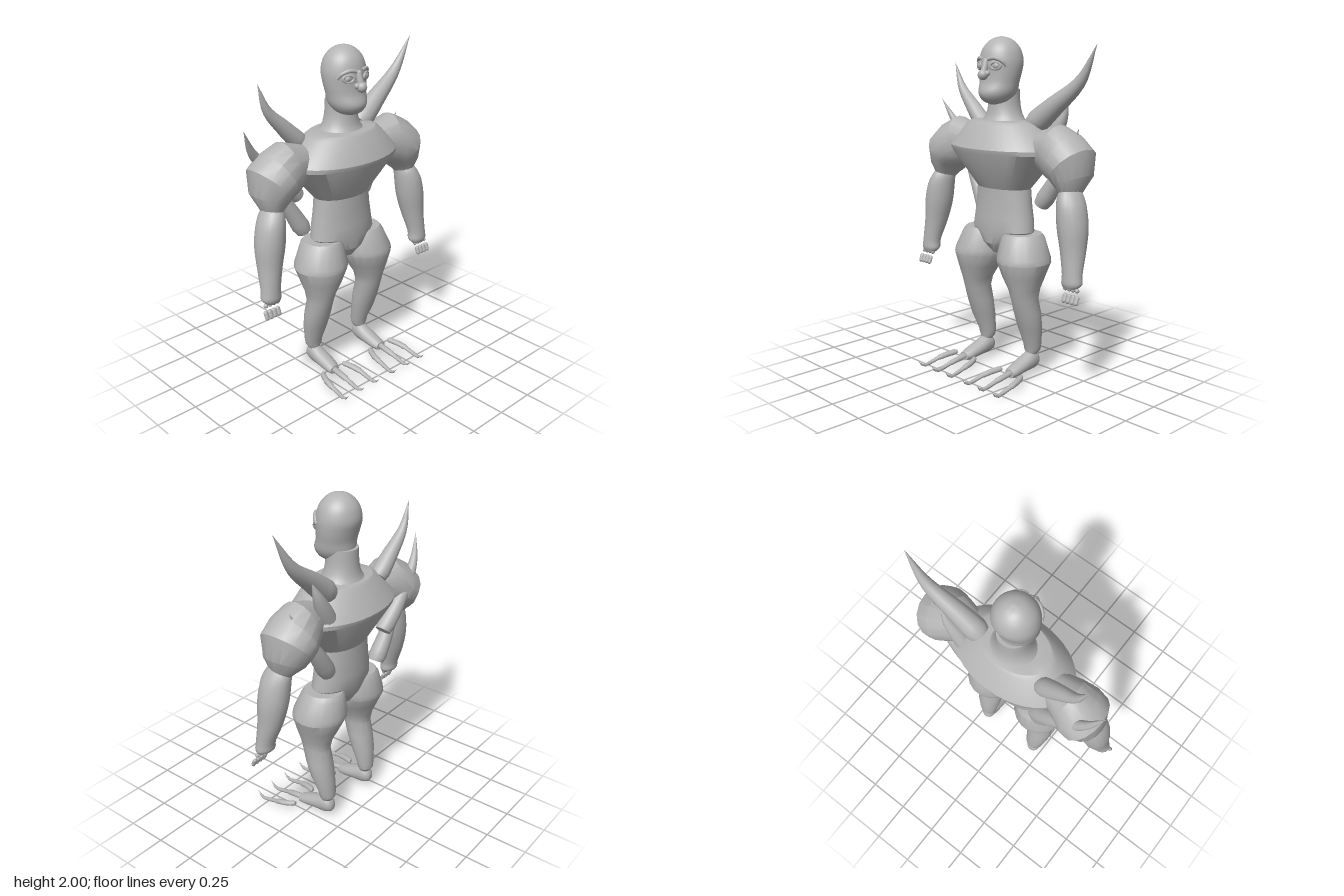
import * as THREE from 'three';
import { toCreasedNormals } from 'three/addons/utils/BufferGeometryUtils.js';

const rad = THREE.MathUtils.degToRad;

// Closed skin over elliptical rings: [x, y, z, half width, half depth, tilt in degrees]
function loft(rings, sides = 20, crease = 0.6) {
  const pos = [], idx = [], n = rings.length;
  for (const [x, y, z, a, b, tilt = 0] of rings) {
    const c = Math.cos(rad(tilt)), s = Math.sin(rad(tilt));
    for (let j = 0; j < sides; j++) {
      const t = j / sides * Math.PI * 2, u = a * Math.cos(t);
      pos.push(x + u * c, y + u * s, z + b * Math.sin(t));
    }
  }
  for (let i = 0; i < n - 1; i++) {
    for (let j = 0; j < sides; j++) {
      const k = (j + 1) % sides, p = i * sides, q = p + sides;
      idx.push(p + j, q + j, p + k, q + j, q + k, p + k);
    }
  }
  // End caps
  const first = rings[0], last = rings[n - 1];
  pos.push(first[0], first[1], first[2], last[0], last[1], last[2]);
  const c0 = n * sides, c1 = c0 + 1, top = (n - 1) * sides;
  for (let j = 0; j < sides; j++) {
    const k = (j + 1) % sides;
    idx.push(c0, j, k, c1, top + k, top + j);
  }
  const g = new THREE.BufferGeometry();
  g.setAttribute('position', new THREE.Float32BufferAttribute(pos, 3));
  g.setIndex(idx);
  return toCreasedNormals(g, crease);
}

// Adds rounded in-between rings
function smooth(rings, steps = 4) {
  const out = [], n = rings.length;
  for (let i = 0; i < n - 1; i++) {
    const [p0, p1, p2, p3] = [-1, 0, 1, 2].map(d => rings[Math.min(n - 1, Math.max(0, i + d))]);
    for (let s = 0; s < steps; s++) {
      const t = s / steps;
      out.push(p1.map((v, k) => 0.5 * (2 * v + (p2[k] - p0[k]) * t
        + (2 * p0[k] - 5 * v + 4 * p2[k] - p3[k]) * t * t
        + (3 * v - p0[k] - 3 * p2[k] + p3[k]) * t * t * t)));
    }
  }
  out.push(rings[n - 1]);
  return out;
}

const mirror = (rings, s) => rings.map(([x, y, z, a, b, t = 0]) => [x * s, y, z, a, b, t * s]);

// Curved horn tapering from a blunt base to a point
function horn(points, r) {
  const curve = new THREE.CatmullRomCurve3(points.map(p => new THREE.Vector3(...p)));
  const rings = [];
  for (let i = 0; i <= 14; i++) {
    const t = i / 14, p = curve.getPoint(t), d = curve.getTangent(t);
    const w = r * Math.max(0.01, 1 - Math.pow(t, 1.6)) * (i === 0 ? 0.85 : 1);
    rings.push([p.x, p.y, p.z, w, w, THREE.MathUtils.radToDeg(Math.atan2(-d.x, d.y))]);
  }
  return loft(rings, 14);
}

export function createModel() {
  const model = new THREE.Group();
  model.name = 'hornedFigure';
  const clay = new THREE.MeshStandardMaterial({ color: 0xb4b4b4 });
  clay.name = 'grey clay';
  const add = (name, geo, x = 0, y = 0, z = 0) => {
    const m = new THREE.Mesh(geo, clay);
    m.name = name;
    m.position.set(x, y, z);
    model.add(m);
    return m;
  };

  // Torso with flared chest, and neck
  add('torso', loft([
    [0, 0.74, -0.07, 0.04, 0.07], [0, 0.8, -0.07, 0.13, 0.11], [0, 0.88, -0.075, 0.225, 0.125],
    [0, 0.95, -0.08, 0.215, 0.125], [0, 1.04, -0.08, 0.2, 0.12], [0, 1.13, -0.08, 0.19, 0.12],
    [0, 1.345, -0.08, 0.38, 0.24], [0, 1.37, -0.08, 0.38, 0.245], [0, 1.505, -0.07, 0.25, 0.165],
    [0, 1.52, -0.07, 0.22, 0.15], [0, 1.525, -0.07, 0.15, 0.12]], 40, 0.45));
  add('neck', loft(smooth([
    [0, 1.51, -0.08, 0.145, 0.125], [0, 1.55, -0.08, 0.115, 0.105],
    [0, 1.61, -0.08, 0.096, 0.094], [0, 1.7, -0.08, 0.09, 0.09]]), 28));

  // Head
  add('head', loft(smooth([
    [0, 1.615, -0.02, 0.03, 0.04], [0, 1.635, -0.02, 0.075, 0.085], [0, 1.68, -0.028, 0.106, 0.118],
    [0, 1.74, -0.04, 0.118, 0.112], [0, 1.8, -0.05, 0.128, 0.118], [0, 1.86, -0.056, 0.13, 0.126],
    [0, 1.92, -0.057, 0.115, 0.113], [0, 1.96, -0.057, 0.088, 0.087],
    [0, 1.988, -0.057, 0.05, 0.05], [0, 2, -0.057, 0.005, 0.005]]), 32, 1));
  add('noseBridge', new THREE.CapsuleGeometry(0.02, 0.07, 4, 12), 0, 1.825, 0.075).rotation.x = -0.3;
  add('noseTip', new THREE.SphereGeometry(0.03, 16, 12), 0, 1.785, 0.09);

  for (const s of [1, -1]) {
    const side = s > 0 ? 'left' : 'right';
    add(side + 'Nostril', new THREE.SphereGeometry(0.017, 12, 8), s * 0.024, 1.793, 0.078);

    // Eye, lids and brow
    add(side + 'Eye', new THREE.SphereGeometry(0.024, 14, 10), s * 0.065, 1.835, 0.042);
    const lids = add(side + 'Eyelids', new THREE.TorusGeometry(0.026, 0.008, 8, 20), s * 0.065, 1.835, 0.056);
    lids.scale.set(1.2, 0.75, 1);
    lids.rotation.y = s * 0.5;
    const brow = new THREE.CatmullRomCurve3([[0.02, 1.872, 0.07], [0.06, 1.878, 0.058],
      [0.095, 1.86, 0.032], [0.108, 1.835, 0.01]].map(([x, y, z]) => new THREE.Vector3(x * s, y, z)));
    add(side + 'Brow', new THREE.TubeGeometry(brow, 14, 0.011, 8));

    // Shoulder bulge and forearm
    add(side + 'Shoulder', loft(mirror([
      [0.24, 1.38, -0.09, 0.08, 0.08, -80], [0.375, 1.375, -0.1, 0.152, 0.13, -107],
      [0.45, 1.34, -0.105, 0.15, 0.16, -120], [0.51, 1.295, -0.105, 0.142, 0.16, -134],
      [0.525, 1.215, -0.1, 0.102, 0.125, -157], [0.522, 1.155, -0.085, 0.057, 0.08, -172],
      [0.522, 1.13, -0.08, 0.045, 0.06, -175]], s), 16, 0.5));
    add(side + 'Forearm', loft(mirror(smooth([
      [0.598, 0.645, 0, 0.045, 0.03], [0.6, 0.67, -0.01, 0.064, 0.05], [0.598, 0.72, -0.015, 0.06, 0.053],
      [0.58, 0.85, -0.04, 0.072, 0.075], [0.565, 0.97, -0.05, 0.086, 0.09],
      [0.548, 1.08, -0.056, 0.08, 0.09], [0.532, 1.145, -0.065, 0.064, 0.08],
      [0.525, 1.18, -0.07, 0.045, 0.06]], 3), s), 16));

    // Knuckles and separate finger segments
    for (let i = 0; i < 4; i++) {
      const x = s * (0.578 + i * 0.028);
      add(side + 'Knuckle' + i, new THREE.SphereGeometry(0.013, 10, 8), x - s * 0.01, 0.64, 0.005);
      const f = add(side + 'Finger' + i, new THREE.CapsuleGeometry(0.0145, 0.028, 4, 8), x, 0.59, 0.022);
      f.rotation.x = -0.4;
      f.scale.z = 0.8;
    }

    // Leg with wide hip
    add(side + 'Leg', loft(mirror([
      [0.195, 0.13, -0.125, 0.035, 0.035], [0.195, 0.155, -0.13, 0.052, 0.046],
      [0.196, 0.19, -0.128, 0.058, 0.05], [0.202, 0.3, -0.1, 0.076, 0.07], [0.203, 0.4, -0.075, 0.083, 0.08],
      [0.202, 0.49, -0.052, 0.078, 0.086], [0.2, 0.55, -0.05, 0.09, 0.1], [0.19, 0.63, -0.055, 0.128, 0.132],
      [0.184, 0.71, -0.062, 0.16, 0.162], [0.18, 0.74, -0.064, 0.158, 0.16], [0.165, 0.85, -0.075, 0.126, 0.13],
      [0.16, 0.872, -0.075, 0.112, 0.115]], s), 18, 0.5));

    // Foot and toes, lofted upright and laid forward
    add(side + 'Foot', loft(mirror(smooth([
      [0.195, -0.172, -0.085, 0.018, 0.02], [0.195, -0.155, -0.09, 0.037, 0.045],
      [0.195, -0.115, -0.092, 0.046, 0.06], [0.195, -0.05, -0.078, 0.05, 0.046],
      [0.197, 0.03, -0.058, 0.046, 0.036], [0.2, 0.07, -0.05, 0.036, 0.026]], 3), s), 14)
      .rotateX(Math.PI / 2));
    for (const k of [-1, 0, 1]) {
      const at = d => 0.2 + k * d;
      add(side + 'Toe' + (k + 1), loft(mirror([
        [at(0.085), 0.055, -0.055, 0.012, 0.012], [at(0.092), 0.07, -0.052, 0.019, 0.017],
        [at(0.11), 0.12, -0.044, 0.019, 0.017], [at(0.118), 0.17, -0.037, 0.018, 0.016],
        [at(0.119), 0.178, -0.035, 0.014, 0.013], [at(0.122), 0.24, -0.02, 0.013, 0.012],
        [at(0.124), 0.28, -0.013, 0.01, 0.01], [at(0.125), 0.31, -0.025, 0.007, 0.007],
        [at(0.125), 0.33, -0.05, 0.001, 0.001]], s), 10, 0.8).rotateX(Math.PI / 2));
    }
  }

  // Back horns, different on each side
  add('leftGreatHorn', horn([[0.19, 1.5, -0.13], [0.33, 1.61, -0.14], [0.51, 1.755, -0.155], [0.63, 1.955, -0.145]], 0.07));
  add('leftMiddleHorn', horn([[0.23, 1.34, -0.18], [0.31, 1.47, -0.19], [0.36, 1.56, -0.195], [0.395, 1.64, -0.19]], 0.055));
  add('leftLowerHorn', horn([[0.23, 1.04, -0.16], [0.34, 1.2, -0.17], [0.45, 1.37, -0.16], [0.52, 1.5, -0.14]], 0.055));
  add('rightGreatHorn', horn([[-0.24, 1.46, -0.155], [-0.35, 1.57, -0.16], [-0.46, 1.69, -0.165], [-0.52, 1.845, -0.16]], 0.055));
  add('rightMiddleHorn', horn([[-0.24, 1.13, -0.2], [-0.38, 1.28, -0.21], [-0.55, 1.46, -0.19], [-0.635, 1.615, -0.145]], 0.055));
  add('rightLowerHorn', horn([[-0.23, 0.92, -0.16], [-0.31, 1.06, -0.17], [-0.39, 1.2, -0.17], [-0.46, 1.36, -0.15]], 0.055));

  return model;
}
